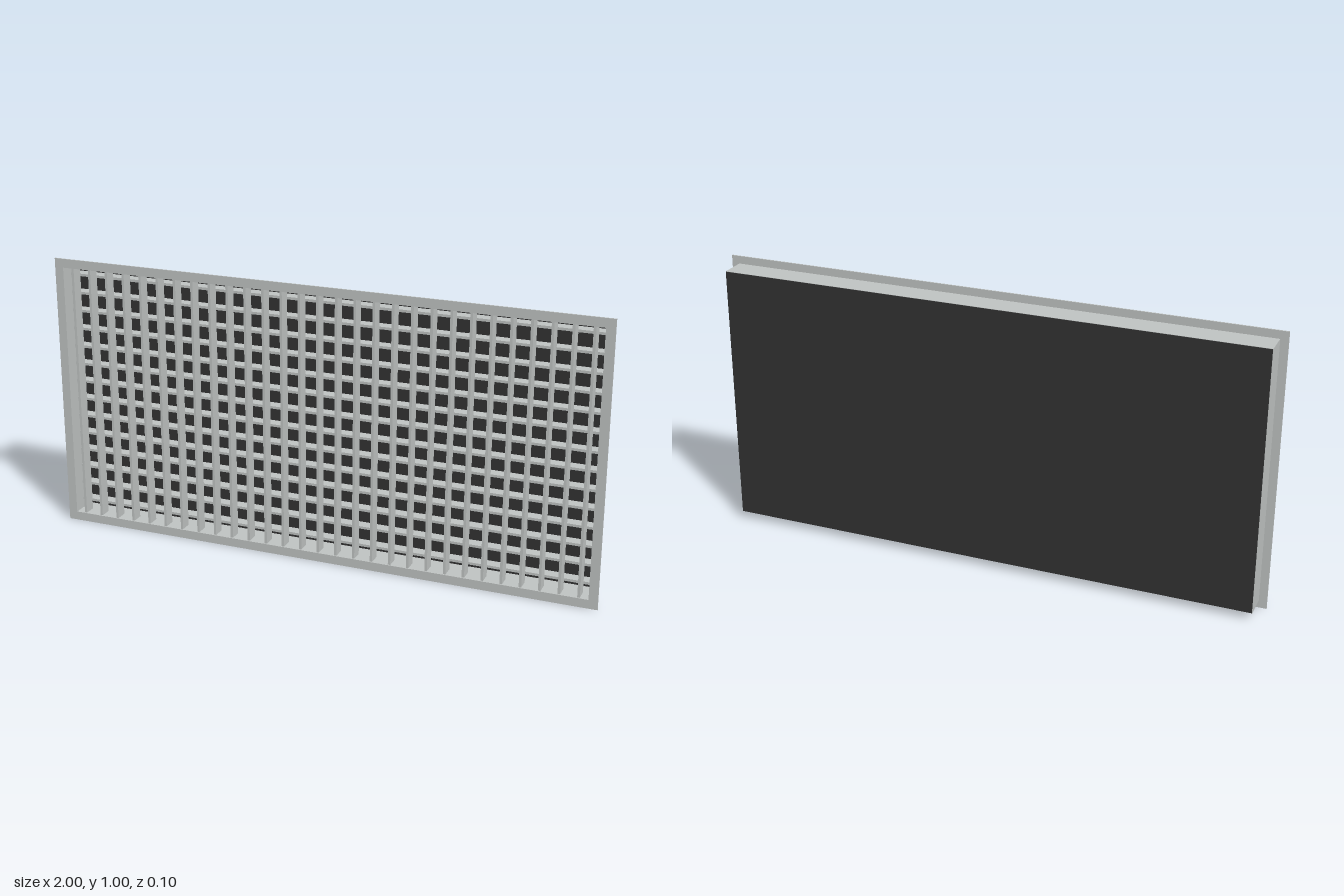
import * as THREE from 'three';

export function createModel() {
  const metal = new THREE.MeshStandardMaterial({ color: 0xc0c4c3 });
  metal.name = 'light grey metal';
  const dark = new THREE.MeshStandardMaterial({ color: 0x333333 });
  dark.name = 'dark backing';

  const model = new THREE.Group();
  model.name = 'ventilationGrille';
  const pitch = 1 / 15;
  const innerX = 0.968, innerY = 0.468;

  // Rectangular ring, centred at y = 0.5, from z0 to z1
  function ring(name, outerX, outerY, z0, z1) {
    const shape = new THREE.Shape();
    shape.moveTo(-outerX, -outerY).lineTo(outerX, -outerY).lineTo(outerX, outerY).lineTo(-outerX, outerY).closePath();
    const hole = new THREE.Path();
    hole.moveTo(-innerX, -innerY).lineTo(-innerX, innerY).lineTo(innerX, innerY).lineTo(innerX, -innerY).closePath();
    shape.holes.push(hole);
    const geometry = new THREE.ExtrudeGeometry(shape, { depth: z1 - z0, bevelEnabled: false });
    const mesh = new THREE.Mesh(geometry, metal);
    mesh.name = name;
    mesh.position.set(0, 0.5, z0);
    model.add(mesh);
  }

  function box(name, parent, material, size, position) {
    const mesh = new THREE.Mesh(new THREE.BoxGeometry(...size), material);
    mesh.name = name;
    mesh.position.set(...position);
    parent.add(mesh);
  }

  // Thin front flange and the duct collar behind it
  ring('flange', 1, 0.5, 0.045, 0.05);
  ring('collar', 0.972, 0.472, -0.048, 0.045);

  // Dark panel closing the back
  box('backPanel', model, dark, [1.942, 0.942, 0.003], [0, 0.5, -0.0485]);

  // Upright blades in front
  const uprights = new THREE.Group();
  uprights.name = 'verticalBlades';
  for (let i = -14; i <= 14; i++) {
    box('verticalBlade', uprights, metal, [0.009, innerY * 2, 0.044], [i * pitch, 0.5, 0.023]);
  }
  model.add(uprights);

  // Level blades behind them
  const levels = new THREE.Group();
  levels.name = 'horizontalBlades';
  for (let i = 1; i <= 14; i++) {
    box('horizontalBlade', levels, metal, [innerX * 2, 0.009, 0.04], [0, i * pitch, -0.02]);
  }
  model.add(levels);

  return model;
}
